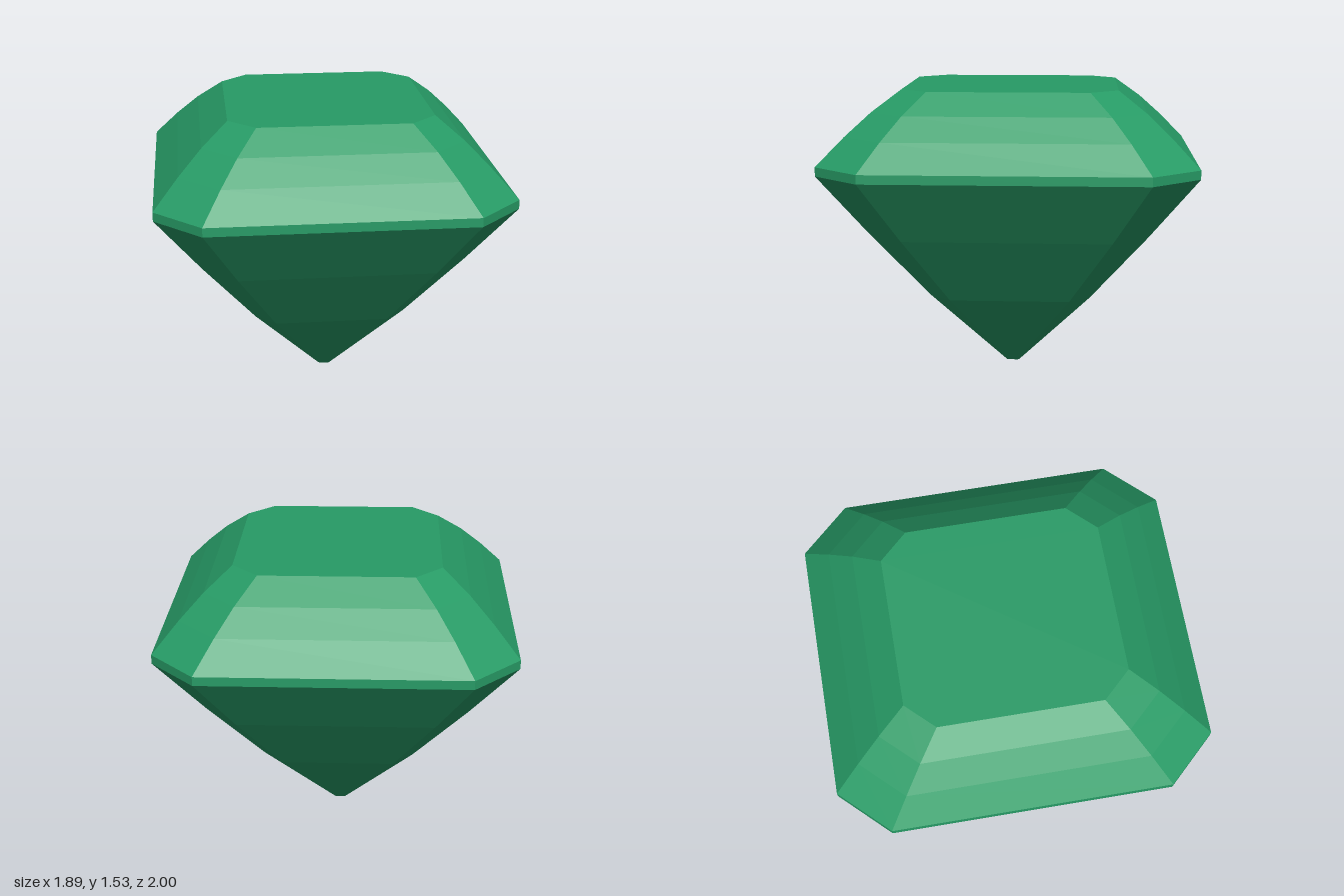
import * as THREE from 'three';

// Girdle outline as [x, z]; the other half is its point reflection
const half = [[0.6, -1], [0.85, -0.77], [0.947, 0.645], [0.73, 0.905]];
const outline = [...half, ...half.map(([x, z]) => [-x, -z])];

// Faceted band through rings [scale, y] listed from bottom to top, with optional flat caps
function facets(rings, capBottom, capTop) {
  const pos = [];
  const n = outline.length;
  const pt = ([s, y], i) => [outline[i % n][0] * s, y, outline[i % n][1] * s];
  for (let r = 0; r < rings.length - 1; r++) {
    for (let i = 0; i < n; i++) {
      const a = pt(rings[r], i), b = pt(rings[r + 1], i);
      const c = pt(rings[r + 1], i + 1), d = pt(rings[r], i + 1);
      pos.push(...a, ...b, ...c, ...a, ...c, ...d);
    }
  }
  const last = rings[rings.length - 1];
  for (let i = 1; i < n - 1; i++) {
    if (capTop) pos.push(...pt(last, 0), ...pt(last, i + 1), ...pt(last, i));
    if (capBottom) pos.push(...pt(rings[0], 0), ...pt(rings[0], i), ...pt(rings[0], i + 1));
  }
  const geo = new THREE.BufferGeometry();
  geo.setAttribute('position', new THREE.Float32BufferAttribute(pos, 3));
  geo.computeVertexNormals();
  return geo;
}

export function createModel() {
  const group = new THREE.Group();
  group.name = 'cutGem';
  const green = new THREE.MeshStandardMaterial({ color: 0x279b66, flatShading: true });
  green.name = 'emeraldGreen';

  const add = (name, geo) => {
    const mesh = new THREE.Mesh(geo, green);
    mesh.name = name;
    group.add(mesh);
  };

  // Tapering underside with a tiny flat tip
  add('pavilion', facets([[0.036, 0], [0.44, 0.427], [0.745, 0.796], [1, 1.124]], true, false));
  // Thin upright belt
  add('girdle', facets([[1, 1.124], [1, 1.17]], false, false));
  // Stepped upper facets and flat table
  add('crown', facets([[1, 1.17], [0.86, 1.31], [0.73, 1.425], [0.58, 1.533]], false, true));
  return group;
}
